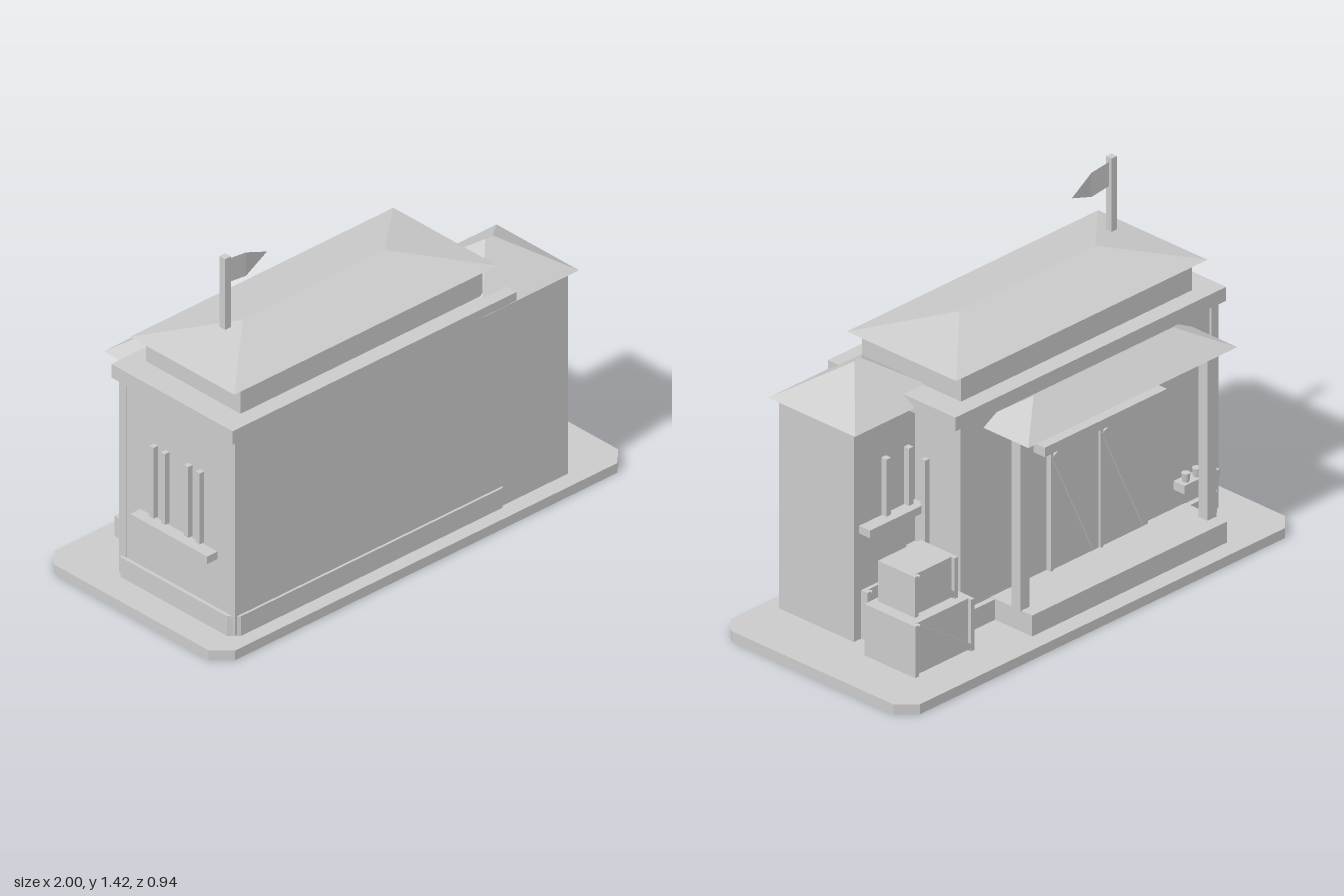
import * as THREE from 'three';

export function createModel() {
  const model = new THREE.Group();
  // Double sided, since several parts are hollow shells
  const grey = new THREE.MeshStandardMaterial({ color: 0xcacaca, side: THREE.DoubleSide });
  grey.name = 'plain grey';

  const add = (name, geometry, parent = model) => {
    const mesh = new THREE.Mesh(geometry, grey);
    mesh.name = name;
    parent.add(mesh);
    return mesh;
  };
  const group = (name) => {
    const g = new THREE.Group();
    g.name = name;
    model.add(g);
    return g;
  };
  // Box given by its limits on each axis
  const box = (name, x0, x1, y0, y1, z0, z1, parent) => {
    const g = new THREE.BoxGeometry(x1 - x0, y1 - y0, z1 - z0);
    g.translate((x0 + x1) / 2, (y0 + y1) / 2, (z0 + z1) / 2);
    return add(name, g, parent);
  };
  // Drop the downward faces of a mesh, leaving it hollow from below
  const openBottom = (mesh) => {
    const src = mesh.geometry.index ? mesh.geometry.toNonIndexed() : mesh.geometry;
    const pos = src.attributes.position.array;
    const nor = src.attributes.normal.array;
    const keptPos = [];
    const keptNor = [];
    for (let i = 0; i < pos.length; i += 9) {
      if (nor[i + 1] < -0.5) continue;
      keptPos.push(...pos.slice(i, i + 9));
      keptNor.push(...nor.slice(i, i + 9));
    }
    mesh.geometry = new THREE.BufferGeometry();
    mesh.geometry.setAttribute('position', new THREE.Float32BufferAttribute(keptPos, 3));
    mesh.geometry.setAttribute('normal', new THREE.Float32BufferAttribute(keptNor, 3));
  };
  // Slab with chamfered corners
  const slab = (name, x0, x1, y0, y1, z0, z1, c) => {
    const pts = [[x0 + c, z0], [x1 - c, z0], [x1, z0 + c], [x1, z1 - c],
      [x1 - c, z1], [x0 + c, z1], [x0, z1 - c], [x0, z0 + c]];
    const shape = new THREE.Shape(pts.map(([x, z]) => new THREE.Vector2(x, -z)));
    const g = new THREE.ExtrudeGeometry(shape, { depth: y1 - y0, bevelEnabled: false });
    g.rotateX(-Math.PI / 2);
    g.translate(0, y0, 0);
    return add(name, g);
  };
  // Flat-shaded faces from corner points
  const facets = (points, faces) => {
    const g = new THREE.BufferGeometry();
    g.setAttribute('position', new THREE.Float32BufferAttribute(faces.flatMap((i) => points[i]), 3));
    g.computeVertexNormals();
    return g;
  };
  // Hipped roof: eaves rectangle with a ridge along x
  const hipRoof = (name, x0, x1, z0, z1, y0, y1, r0, r1) => {
    const zm = (z0 + z1) / 2;
    const p = [[x0, y0, z1], [x1, y0, z1], [x1, y0, z0], [x0, y0, z0], [r0, y1, zm], [r1, y1, zm]];
    return add(name, facets(p, [0, 1, 5, 0, 5, 4, 1, 2, 5, 2, 3, 4, 2, 4, 5, 3, 0, 4, 0, 3, 2, 0, 2, 1]));
  };
  // Diagonal strip on a back-facing wall between two (x, y) points
  const brace = (name, xa, ya, xb, yb, width, z0, z1, parent) => {
    const len = Math.hypot(xb - xa, yb - ya);
    const g = new THREE.BoxGeometry(len, width, z1 - z0);
    g.rotateZ(Math.atan2(yb - ya, xb - xa));
    g.translate((xa + xb) / 2, (ya + yb) / 2, (z0 + z1) / 2);
    return add(name, g, parent);
  };

  // Hollow ground slab and main hall
  openBottom(slab('base', -1, 1, 0, 0.04, -0.468, 0.468, 0.066));
  slab('plinth', -0.885, 0.462, 0.04, 0.122, -0.212, 0.41, 0.035);
  box('mainHall', -0.87, 0.445, 0.045, 0.87, -0.19, 0.4);
  box('cornerPostLeft', -0.873, -0.835, 0.045, 0.87, -0.198, -0.16);
  box('cornerPostRight', 0.41, 0.448, 0.045, 0.87, -0.198, -0.16);
  box('cornice', -0.905, 0.48, 0.868, 0.924, -0.204, 0.426);
  box('upperStorey', -0.802, 0.378, 0.924, 1.04, -0.134, 0.358);
  hipRoof('mainRoof', -0.855, 0.43, -0.16, 0.382, 1.036, 1.105, -0.56, 0.133);

  // Side wing, its walls sunk through the slab
  openBottom(box('sideWing', 0.36, 0.757, 0.002, 0.892, 0.03, 0.4));
  hipRoof('wingRoof', 0.31, 0.785, -0.002, 0.427, 0.888, 1.03, 0.53, 0.565);

  // Loading dock with canopy
  openBottom(box('dock', -0.71, 0.285, 0.002, 0.124, -0.396, -0.19));
  for (const x of [-0.69, 0.267]) box('canopyPost', x - 0.023, x + 0.023, 0.12, 0.825, -0.342, -0.297);
  hipRoof('canopyRoof', -0.747, 0.322, -0.412, -0.135, 0.818, 0.912, -0.57, 0.152);

  // Sliding doors under a rail
  const doors = group('slidingDoors');
  box('doorRail', -0.56, 0.065, 0.622, 0.66, -0.245, -0.19, doors);
  for (const x of [-0.255, 0.0]) {
    box('doorPanel', x - 0.25, x, 0.124, 0.605, -0.205, -0.185, doors);
    box('doorStile', x - 0.015, x, 0.124, 0.605, -0.212, -0.2, doors);
    brace('doorBrace', x - 0.02, 0.59, x - 0.23, 0.14, 0.03, -0.214, -0.2, doors);
  }

  // Shelf with little pots
  const shelf = group('potShelf');
  box('shelfBoard', -0.83, -0.65, 0.2, 0.235, -0.245, -0.185, shelf);
  for (const x of [-0.79, -0.735, -0.68]) {
    const pot = new THREE.CylinderGeometry(0.017, 0.013, 0.035, 8);
    pot.translate(x, 0.252, -0.222);
    add('pot', pot, shelf);
  }

  // Barred windows: left wall, right wall, wing back wall
  const leftWindow = group('leftWindow');
  box('sill', -0.92, -0.86, 0.325, 0.356, -0.09, 0.31, leftWindow);
  for (const z of [-0.01, 0.05, 0.17, 0.23]) {
    box('bar', -0.892, -0.865, 0.365, 0.66, z - 0.011, z + 0.011, leftWindow);
  }
  const rightWindow = group('rightWindow');
  box('sill', 0.44, 0.49, 0.295, 0.33, -0.12, 0.035, rightWindow);
  box('bar', 0.44, 0.466, 0.34, 0.685, -0.041, -0.019, rightWindow);
  const wingWindow = group('wingWindow');
  box('sill', 0.44, 0.73, 0.467, 0.498, -0.024, 0.035, wingWindow);
  for (const x of [0.49, 0.605]) {
    box('bar', x - 0.012, x + 0.012, 0.5, 0.73, 0.005, 0.035, wingWindow);
  }

  // Crates with a framed, braced back face
  const crate = (x0, x1, y0, y1, z0, z1) => {
    const c = group('crate');
    openBottom(box('crateBody', x0, x1, y0, y1, z0, z1, c));
    const w = 0.018;
    const t = 0.016;
    const yb = Math.max(y0, 0.04);
    box('crateFrame', x0, x0 + w, yb, y1, z0 - t, z0, c);
    box('crateFrame', x1 - w, x1, yb, y1, z0 - t, z0, c);
    brace('crateBrace', x1 - w, y1 - 0.01, x0 + w, yb + 0.015, 0.024, z0 - t, z0, c);
  };
  crate(0.5, 0.803, 0.002, 0.247, -0.303, -0.067);
  crate(0.535, 0.755, 0.247, 0.41, -0.255, -0.087);
  crate(0.485, 0.72, 0.002, 0.235, 0.015, 0.22);

  // Pole and bent pennant
  box('flagPole', -0.676, -0.648, 1.125, 1.42, 0.115, 0.143);
  const pennant = [[-0.65, 1.305, 0.128], [-0.56, 1.295, 0.128], [-0.442, 1.34, 0.112],
    [-0.56, 1.393, 0.128], [-0.65, 1.402, 0.128]];
  add('flag', facets(pennant, [0, 1, 3, 0, 3, 4, 1, 2, 3]));

  return model;
}
